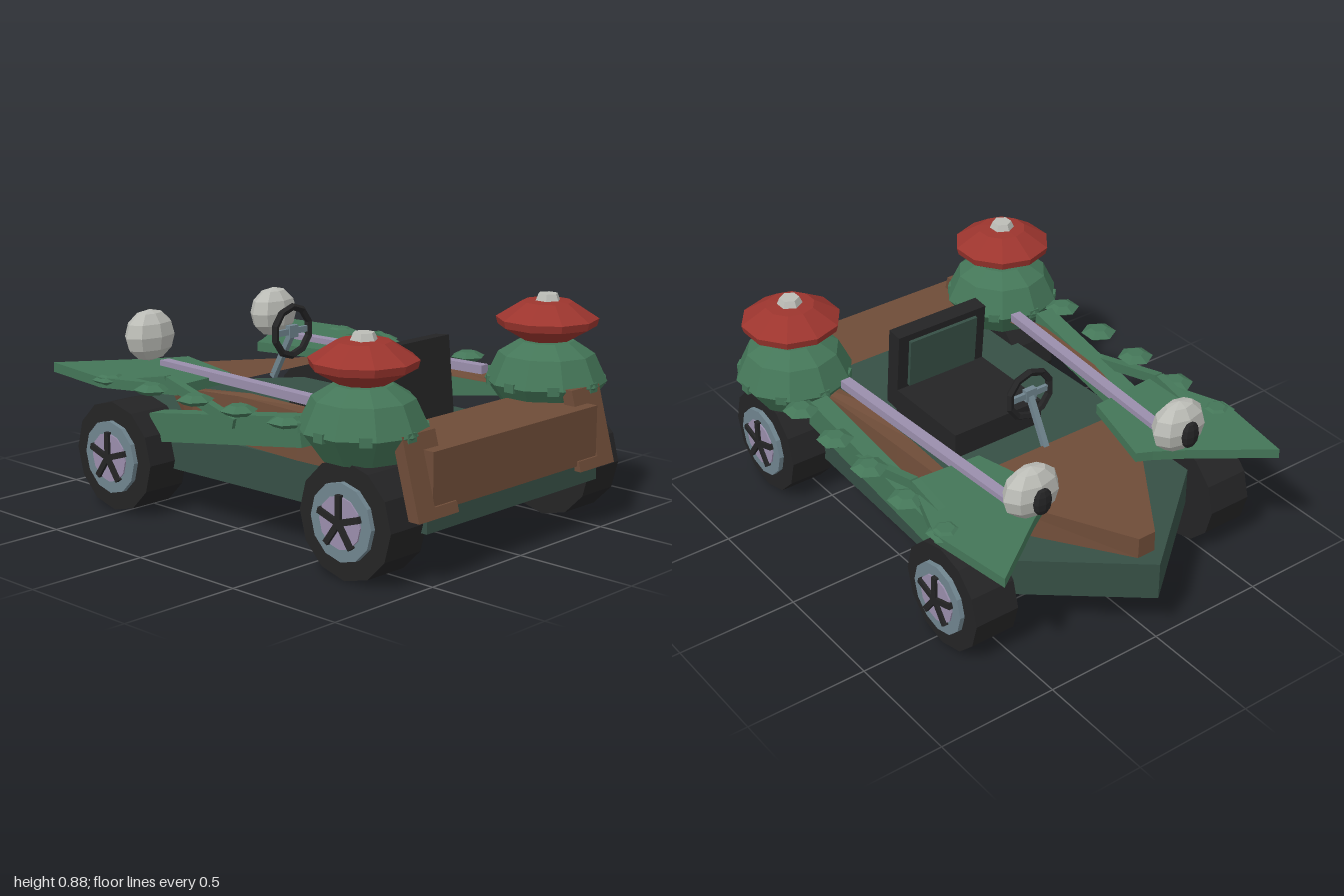
import * as THREE from 'three';

const mat = (name, color) => Object.assign(new THREE.MeshStandardMaterial({ color }), { name });

export function createModel() {
  const root = new THREE.Group();
  root.name = 'kart';
  const green = mat('leaf green', 0x447658), dark = mat('dark green', 0x364f45);
  const brown = mat('wood brown', 0x6e4c38), red = mat('red', 0x9c352e);
  const white = mat('pale grey', 0xbcbdb7), black = mat('black', 0x242425);
  const lavender = mat('lavender', 0x9a8eac), slate = mat('slate', 0x70858f);

  // Faceted mesh at a position
  const add = (name, geo, material, x = 0, y = 0, z = 0, parent = root) => {
    const g = geo.index ? geo.toNonIndexed() : geo;
    g.computeVertexNormals();
    const m = new THREE.Mesh(g, material);
    m.name = name;
    m.position.set(x, y, z);
    parent.add(m);
    return m;
  };
  const box = (w, h, d) => new THREE.BoxGeometry(w, h, d);
  const lathe = (pts, n) => new THREE.LatheGeometry(pts.map(p => new THREE.Vector2(...p)), n);
  // Horizontal slab from an outline of [x, z] points
  const slab = (pts, y0, y1, hole) => {
    const v = a => a.map(([x, z]) => new THREE.Vector2(x, -z));
    const shape = new THREE.Shape(v(pts));
    if (hole) shape.holes.push(new THREE.Path(v(hole)));
    return new THREE.ExtrudeGeometry(shape, { depth: y1 - y0, bevelEnabled: false })
      .rotateX(-Math.PI / 2).translate(0, y0, 0);
  };
  // Move every vertex by a rule
  const warp = (geo, rule) => {
    const p = geo.attributes.position, v = new THREE.Vector3();
    for (let i = 0; i < p.count; i++) {
      rule(v.fromBufferAttribute(p, i));
      p.setXYZ(i, v.x, v.y, v.z);
    }
    return geo;
  };
  // Square bar between two points
  const bar = (name, a, b, w, h, material) => {
    const p = new THREE.Vector3(...a), q = new THREE.Vector3(...b);
    const m = add(name, box(w, h, p.distanceTo(q)), material);
    m.position.copy(p).add(q).multiplyScalar(0.5);
    m.lookAt(q);
    return m;
  };
  // Full outline from its +x half, listed nose to tail
  const mirror = half => [...half, ...half.map(([x, z]) => [-x, z]).reverse()];

  // Hull with pointed nose
  add('hull', slab([[0, -1], [0.55, -0.55], [0.5, 0.97], [-0.5, 0.97], [-0.55, -0.55]], 0.19, 0.35), dark);

  // Wooden body around the open cockpit, sloping down to the nose
  const body = slab(
    mirror([[0.04, -0.92], [0.47, -0.3], [0.51, 0], [0.53, 0.35], [0.52, 0.65], [0.48, 0.97]]), 0.35, 0.5,
    mirror([[0.43, -0.3], [0.44, 0], [0.45, 0.35], [0.45, 0.65]]));
  add('body', warp(body, v => {
    if (v.y < 0.4) return;
    v.y = v.z > 0.6 ? 0.49 : 0.53 + 0.1 * Math.min(v.z, 0);
    v.x *= 0.96;
  }), brown);
  add('bumper', box(0.96, 0.22, 0.09), brown, 0, 0.38, 0.935);

  // Seat
  add('seatCushion', box(0.43, 0.11, 0.42), black, 0, 0.41, 0.21);
  const seatBack = new THREE.Group();
  seatBack.name = 'seatBack';
  seatBack.position.set(0, 0.55, 0.435);
  seatBack.rotation.x = -0.1;
  root.add(seatBack);
  add('seatBackShell', box(0.43, 0.36, 0.07), black, 0, 0, 0, seatBack);
  add('seatBackPad', box(0.33, 0.22, 0.02), dark, 0, 0.04, -0.04, seatBack);

  // Steering wheel and column
  add('steeringWheel', new THREE.TorusGeometry(0.1, 0.016, 5, 10).rotateZ(Math.PI / 10), black, 0, 0.685, -0.2);
  add('steeringSpoke', box(0.19, 0.025, 0.015), slate, 0, 0.685, -0.2);
  add('steeringHub', box(0.05, 0.05, 0.025), slate, 0, 0.685, -0.2);
  bar('steeringColumn', [0, 0.68, -0.2], [0, 0.48, -0.31], 0.024, 0.024, slate);

  const makeWheel = (s, z) => {
    const wheel = new THREE.Group();
    wheel.name = z > 0 ? 'rearWheel' : 'frontWheel';
    wheel.position.set(s * 0.575, 0.225, z);
    wheel.rotation.y = s < 0 ? Math.PI : 0;
    root.add(wheel);
    const disc = (r, w, n) => new THREE.CylinderGeometry(r, r, w, n).rotateZ(-Math.PI / 2);
    add('tyre', disc(0.223, 0.19, 12), black, 0, 0, 0, wheel);
    add('rim', disc(0.148, 0.04, 12), slate, 0.095, 0, 0, wheel);
    add('hubDisc', disc(0.1, 0.008, 12), lavender, 0.117, 0, 0, wheel);
    for (let k = 0; k < 5; k++)
      add('spoke', box(0.02, 0.105, 0.024).translate(0, 0.052, 0).rotateX(k * Math.PI * 0.4), black, 0.123, 0, 0, wheel);
  };

  for (const s of [1, -1]) {
    makeWheel(s, 0.73);
    makeWheel(s, -0.54);

    // Jagged front fender
    const outline = [[0.66, -0.92], [0.37, -0.71], [0.26, -0.64], [0.2, -0.61], [0.29, -0.26],
      [0.59, -0.24], [0.71, -0.56]];
    add('frontFender', slab(outline.map(([x, z]) => [s * x, z]), 0.51, 0.55), green);

    // Side stems, rail and leaves
    bar('sideStem', [s * 0.57, 0.49, 0.45], [s * 0.55, 0.355, -0.4], 0.08, 0.115, green);
    bar('upperStem', [s * 0.6, 0.46, 0.1], [s * 0.6, 0.565, -0.28], 0.035, 0.04, green);
    bar('upperStemTip', [s * 0.6, 0.565, -0.28], [s * 0.6, 0.53, -0.45], 0.035, 0.04, green);
    bar('rail', [s * 0.43, 0.56, 0.46], [s * 0.375, 0.555, -0.56], 0.045, 0.035, lavender);
    for (const z of [-0.56, -0.31, -0.06, 0.18, 0.43])
      add('leaf', lathe([[0, -0.02], [0.045, -0.018], [0.074, 0], [0.035, 0.02], [0, 0.02]], 6), green, s * 0.66, 0.537, z);

    // Rear pot with collar tabs, red cap and pale stud
    const px = s * 0.53, pz = 0.69;
    add('pot', lathe([[0, 0.43], [0.16, 0.43], [0.242, 0.54], [0.19, 0.65], [0.11, 0.7], [0, 0.7]], 10), green, px, 0, pz);
    for (let k = 0; k < 8; k++) {
      const a = k * Math.PI / 4;
      const tab = add('collarTab', box(0.045, 0.035, 0.03), green, px + 0.22 * Math.sin(a), 0.54, pz + 0.22 * Math.cos(a));
      tab.rotation.y = a;
    }
    add('capNeck', new THREE.CylinderGeometry(0.06, 0.06, 0.05, 8), white, px, 0.705, pz);
    add('redCap', lathe([[0, 0.705], [0.1, 0.705], [0.195, 0.76], [0.203, 0.79], [0.1, 0.855], [0, 0.862]], 10), red, px, 0, pz);
    add('capStud', new THREE.CylinderGeometry(0.04, 0.055, 0.035, 6), white, px, 0.868, pz);

    // Eye facing the nose
    add('eye', new THREE.SphereGeometry(1, 8, 6).scale(0.125, 0.108, 0.075), white, s * 0.355, 0.655, -0.67);
    add('pupil', new THREE.SphereGeometry(1, 8, 6).scale(0.043, 0.058, 0.022), black, s * 0.355, 0.645, -0.74);

    // Leaning corner bracket on the bumper
    const c = [[0.36, 0.25], [0.575, 0.25], [0.575, 0.55], [0.4, 0.55], [0.4, 0.49], [0.48, 0.49], [0.48, 0.29], [0.36, 0.29]];
    const bracket = new THREE.ExtrudeGeometry(
      new THREE.Shape(c.map(([x, y]) => new THREE.Vector2(s * x, y))), { depth: 0.05, bevelEnabled: false });
    add('cornerBracket', warp(bracket, v => { v.z += 0.95 - (v.y - 0.25) * 0.28; }), brown);
  }
  return root;
}
